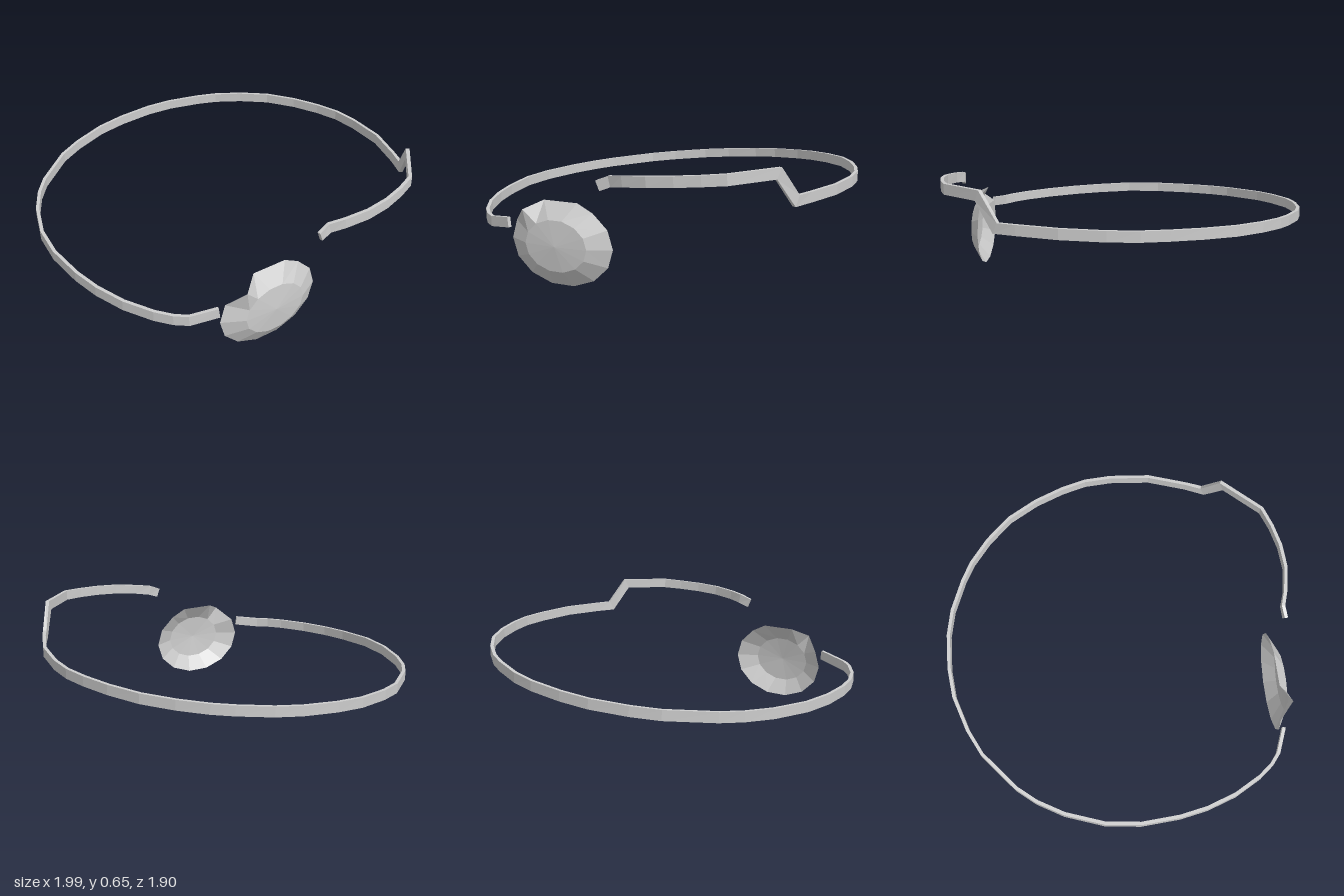
import * as THREE from 'three';

const grey = new THREE.MeshStandardMaterial({ color: 0xcccccc, flatShading: true, side: THREE.DoubleSide });
grey.name = 'plain grey';

function meshFrom(name, pos, idx) {
  let g = new THREE.BufferGeometry();
  g.setAttribute('position', new THREE.Float32BufferAttribute(pos, 3));
  g.setIndex(idx);
  g = g.toNonIndexed();
  g.computeVertexNormals();
  const m = new THREE.Mesh(g, grey);
  m.name = name;
  return m;
}

// Flat band with a rectangular, mitred section swept along a polyline
function band(name, pts, width, thick) {
  const pos = [], idx = [], up = new THREE.Vector3(0, 1, 0);
  const dir = pts.slice(1).map((p, i) => p.clone().sub(pts[i]).normalize());
  const corners = [[1, -1], [1, 1], [-1, 1], [-1, -1]];
  pts.forEach((p, i) => {
    const a = dir[Math.max(i - 1, 0)], b = dir[Math.min(i, dir.length - 1)];
    const t = a.clone().add(b).normalize();
    const mitre = 1 / t.dot(a);
    const n = t.clone().cross(up).normalize();
    const u = n.clone().cross(t);
    for (const [sn, su] of corners) {
      const c = p.clone().addScaledVector(n, sn * thick * mitre / 2).addScaledVector(u, su * width * mitre / 2);
      pos.push(c.x, c.y, c.z);
    }
    if (i === 0) return;
    const k = i * 4;
    for (let j = 0; j < 4; j++) {
      const j2 = (j + 1) % 4;
      idx.push(k - 4 + j, k + j, k + j2, k - 4 + j, k + j2, k - 4 + j2);
    }
  });
  const e = (pts.length - 1) * 4;
  idx.push(0, 1, 2, 0, 2, 3, e, e + 2, e + 1, e, e + 3, e + 2);
  return meshFrom(name, pos, idx);
}

// Shallow open faceted dish, with one rim corner bent forward
function dish(name) {
  const n = 14, cx = -0.248, cy = 0.215, pos = [], idx = [];
  for (let i = 0; i < n; i++) {
    const a = i / n * Math.PI * 2, c = Math.cos(a), s = Math.sin(a);
    const bent = i === 5;
    const spread = i === 3 || i === 4 ? 1.48 : 1;
    pos.push(cx + 0.285 * c * spread, cy + 0.218 * s, bent ? 0.903 : 0.835);
    pos.push(cx + 0.172 * c, cy + 0.132 * s, 0.894);
  }
  pos.push(cx, cy, 0.906);
  for (let i = 0; i < n; i++) {
    const o = i * 2, p = ((i + 1) % n) * 2;
    idx.push(o, p, p + 1, o, p + 1, o + 1, o + 1, p + 1, n * 2);
  }
  return meshFrom(name, pos, idx);
}

export function createModel() {
  const group = new THREE.Group();
  group.name = 'headband';

  // Raised front arm, then the step down: x, y, z
  const arm = [
    [0.0, 0.543, 0.903], [0.06, 0.567, 0.895], [0.14, 0.578, 0.92], [0.27, 0.592, 0.94],
    [0.4, 0.602, 0.93], [0.52, 0.61, 0.9], [0.625, 0.617, 0.86], [0.8, 0.625, 0.665],
    [0.86, 0.483, 0.575],
  ];
  // Main loop in plan: x, z; its height rises evenly towards +x
  const loop = [
    [0.9, 0.475], [0.967, 0.27], [0.988, 0.05], [0.98, -0.1], [0.945, -0.235], [0.885, -0.39],
    [0.795, -0.55], [0.675, -0.68], [0.55, -0.78], [0.45, -0.835], [0.28, -0.905], [0.14, -0.935],
    [-0.05, -0.942], [-0.21, -0.925], [-0.4, -0.863], [-0.535, -0.795], [-0.735, -0.625],
    [-0.815, -0.525], [-0.893, -0.385], [-0.963, -0.18], [-0.985, 0.01], [-0.968, 0.22],
    [-0.937, 0.37], [-0.88, 0.53], [-0.798, 0.675], [-0.737, 0.75], [-0.68, 0.795], [-0.545, 0.845],
  ];
  const pts = arm.map((p) => new THREE.Vector3(...p));
  for (const [x, z] of loop) {
    // the lower front end levels out
    const y = x < 0 && z > 0 ? 0.302 - 0.03 * Math.sin(Math.min(z / 0.8, 1) * 1.2) + (x > -0.6 ? 0.02 : 0) : 0.392 + 0.09 * x;
    pts.push(new THREE.Vector3(x, z > 0 && x > 0 ? y + 0.012 * z / 0.5 : y, z));
  }
  group.add(band('band', pts, 0.053, 0.018));
  group.add(dish('facetedDisc'));
  return group;
}
